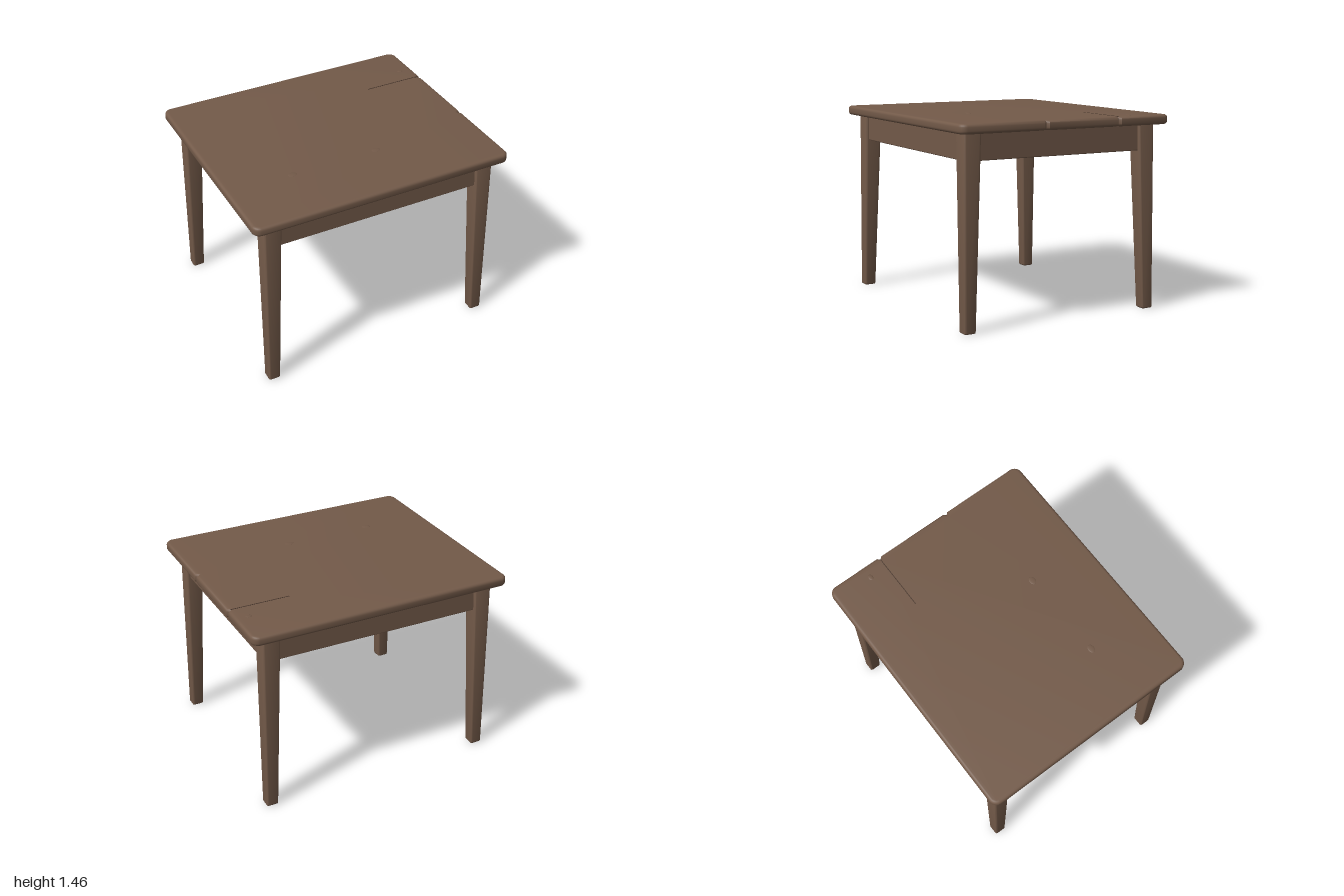
import * as THREE from 'three';
import { toCreasedNormals } from 'three/addons/utils/BufferGeometryUtils.js';
import { RoundedBoxGeometry } from 'three/addons/geometries/RoundedBoxGeometry.js';

const wood = new THREE.MeshStandardMaterial({ color: 0x735a49 });
wood.name = 'brown wood';
const darkWood = new THREE.MeshStandardMaterial({ color: 0x4c3a2f });
darkWood.name = 'dark seam';

const TOP = 1.452, UNDER = 1.382;

function add(parent, name, geometry, x, y, z, material = wood) {
  const mesh = new THREE.Mesh(geometry, material);
  mesh.name = name;
  mesh.position.set(x, y, z);
  parent.add(mesh);
  return mesh;
}

// Plan outline with softened corners and small nicks where the planks meet
function tabletopGeometry() {
  const X = 1, Z = 0.855, c = 0.05, n = 0.018, bevel = 0.022;
  const s = new THREE.Shape();
  const nick = (x, z, dir) => {
    s.lineTo(x, z - dir * n);
    s.lineTo(x - Math.sign(x) * n, z);
    s.lineTo(x, z + dir * n);
  };
  s.moveTo(-X + c, -Z);
  s.lineTo(X - c, -Z);
  s.quadraticCurveTo(X - 0.01, -Z + 0.01, X, -Z + c);
  nick(X, -0.41, 1);
  nick(X, 0.19, 1);
  s.lineTo(X, Z - c);
  s.quadraticCurveTo(X - 0.01, Z - 0.01, X - c, Z);
  s.lineTo(-X + c, Z);
  s.quadraticCurveTo(-X + 0.01, Z - 0.01, -X, Z - c);
  s.lineTo(-X, -Z + c);
  s.quadraticCurveTo(-X + 0.01, -Z + 0.01, -X + c, -Z);
  const geo = new THREE.ExtrudeGeometry(s, {
    depth: TOP - UNDER - 2 * bevel, bevelThickness: bevel, bevelSize: bevel,
    bevelOffset: -bevel, bevelSegments: 4, curveSegments: 5,
  });
  geo.rotateX(Math.PI / 2);
  geo.translate(0, TOP - bevel, 0);
  return toCreasedNormals(geo, 0.7);
}

// Square leg, narrower and further out at the foot
function legGeometry(sx, sz) {
  const geo = new RoundedBoxGeometry(1, UNDER + 0.01, 1, 3, 0.012);
  const p = geo.attributes.position, h = UNDER + 0.01;
  const mix = THREE.MathUtils.lerp;
  for (let i = 0; i < p.count; i++) {
    const y = p.getY(i) + h / 2, t = y / h;
    const size = mix(0.09, 0.133, t);
    // keep the edge radius real-sized while the section shrinks
    const round = (v) => {
      const d = 0.5 - Math.abs(v);
      return Math.sign(v) * (size / 2 - Math.min(d, 0.012) * 1.3);
    };
    p.setXYZ(i, round(p.getX(i)) + sx * mix(0.87, 0.836, t), y,
      round(p.getZ(i)) + sz * mix(0.747, 0.715, t));
  }
  geo.computeVertexNormals();
  return toCreasedNormals(geo, 0.7);
}

export function createModel() {
  const table = new THREE.Group();
  table.name = 'table';

  add(table, 'tabletop', tabletopGeometry(), 0, 0, 0);

  // Split between two planks
  add(table, 'plankSeam', new THREE.BoxGeometry(0.44, 0.004, 0.006), 0.755, TOP, -0.412, darkWood);

  // Flat knots in the boards
  const knots = new THREE.Group();
  knots.name = 'knots';
  table.add(knots);
  const knot = new THREE.SphereGeometry(1, 16, 8);
  for (const [x, z, r, through] of [[-0.5, 0.38, 0.035, true], [0.17, 0.37, 0.035, true], [0.9, -0.55, 0.025, false]]) {
    add(knots, 'topKnot', knot, x, TOP - 0.001, z).scale.set(r, 0.004, r * 0.7);
    if (through) add(knots, 'underKnot', knot, x, UNDER, z).scale.set(r, 0.01, r);
  }

  // Legs
  for (const sx of [-1, 1])
    for (const sz of [-1, 1])
      add(table, (sz > 0 ? 'front' : 'back') + (sx > 0 ? 'Left' : 'Right') + 'Leg', legGeometry(sx, sz), 0, 0, 0);

  // Apron rails, set slightly behind the outer leg faces
  const railH = UNDER - 1.188 + 0.01, railY = 1.188 + railH / 2;
  for (const s of [-1, 1]) {
    add(table, s > 0 ? 'frontApron' : 'backApron',
      new RoundedBoxGeometry(1.62, railH, 0.07, 2, 0.008), 0, railY, s * 0.725);
    add(table, s > 0 ? 'leftApron' : 'rightApron',
      new RoundedBoxGeometry(0.07, railH, 1.38, 2, 0.008), s * 0.845, railY, 0);
  }
  return table;
}
